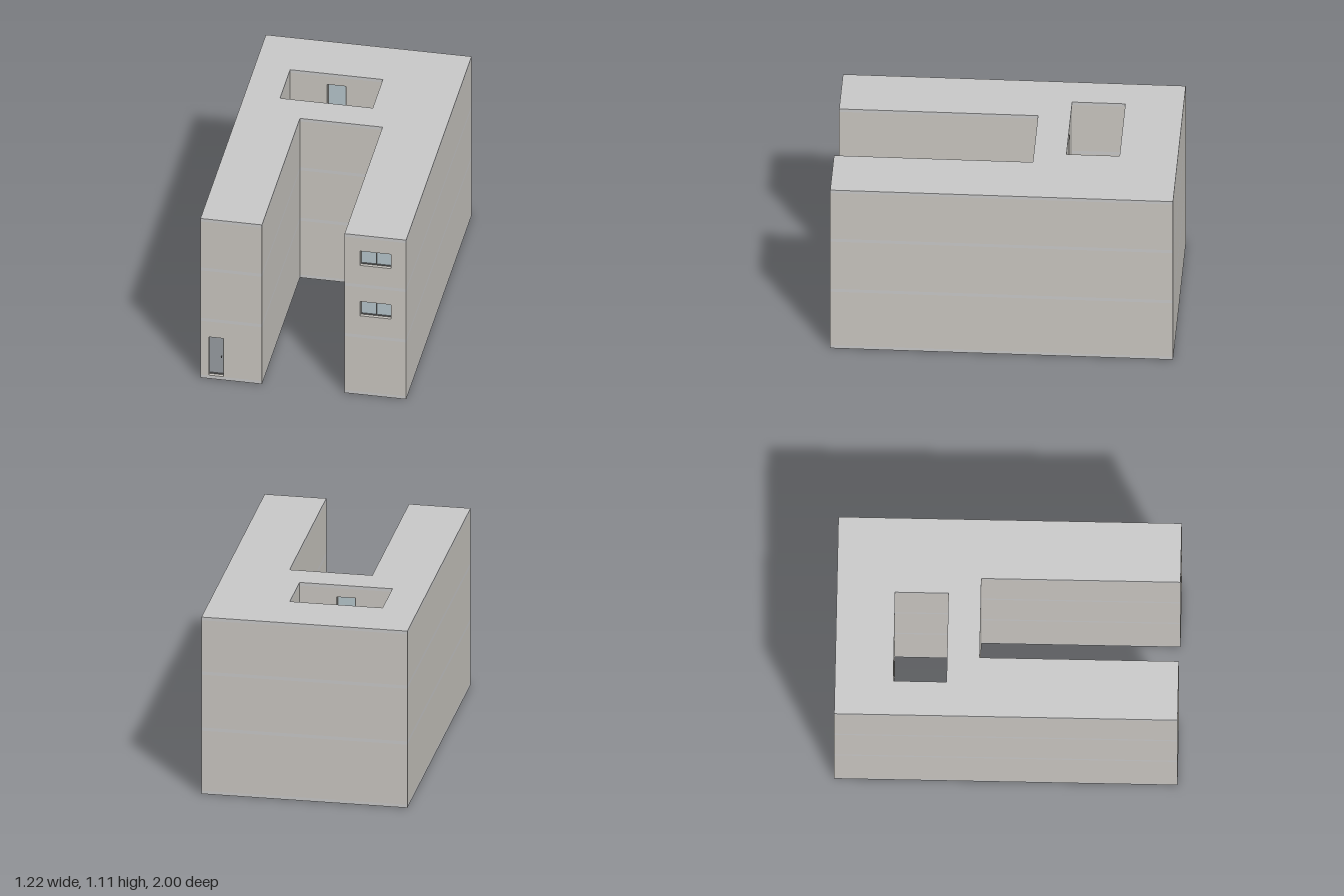
import * as THREE from 'three';

const mat = (color) => new THREE.MeshStandardMaterial({ color, flatShading: true });
const WALL = mat(0xccc9c3), SLAB = mat(0xc2c2c1), FRAME = mat(0x777877), GLASS = mat(0xb8c8ce), DOOR = mat(0x9a9fa4);

// Footprint corners as [x, z]; every wall faces outwards along its edge
const OUTER = [[-0.61, 1], [-0.245, 1], [-0.245, -0.16], [0.245, -0.16], [0.245, 1], [0.61, 1], [0.61, -1], [-0.61, -1]];
const COURT = [[-0.4, -0.66], [0.15, -0.66], [0.15, -0.35], [-0.4, -0.35]];
const STOREYS = [[0.02, 0.395], [0.415, 0.745], [0.765, 1.085]];
const SLABS = [[0, 0.02], [0.395, 0.415], [0.745, 0.765], [1.085, 1.105]];
const THICK = 0.05, RECESS = 0.025;

// Openings: wall loop, edge, storey, start and end along the wall, bottom and top above the storey floor
const OPENINGS = [
  { kind: 'door', loop: OUTER, edge: 0, storey: 0, u: [0.018, 0.136], v: [0.003, 0.268] },
  ...[1, 2].flatMap((storey) => [
    { kind: 'window', loop: OUTER, edge: 4, storey, u: [0.092, 0.276], v: [0.131, 0.23] },
    { kind: 'glassDoor', loop: COURT, edge: 0, storey, u: [0.22, 0.33], v: [0.003, 0.265] },
    { kind: 'glassDoor', loop: COURT, edge: 2, storey, u: [0.22, 0.33], v: [0.003, 0.265] },
  ]),
];

function mesh(geometry, material, name) {
  const m = new THREE.Mesh(geometry, material);
  m.name = name;
  return m;
}

function rectPath(Type, x0, y0, x1, y1) {
  return new Type([[x0, y0], [x1, y0], [x1, y1], [x0, y1]].map(([x, y]) => new THREE.Vector2(x, y)));
}

// Floor plate following the footprint, with the courtyard cut out
function slab(y0, y1) {
  const points = (loop) => loop.map(([x, z]) => new THREE.Vector2(x, -z));
  const shape = new THREE.Shape(points(OUTER));
  shape.holes.push(new THREE.Path(points(COURT)));
  const g = new THREE.ExtrudeGeometry(shape, { depth: y1 - y0, bevelEnabled: false });
  g.rotateX(-Math.PI / 2).translate(0, y0, 0);
  return mesh(g, SLAB, 'floorSlab');
}

// Frame, pane and fittings set back in an opening
function filling({ kind, u: [u0, u1], v: [v0, v1] }) {
  const group = new THREE.Group();
  group.name = kind;
  const w = u1 - u0, h = v1 - v0, b = 0.006;
  const box = (sx, sy, sz, x, y, z, material, name) => {
    const m = mesh(new THREE.BoxGeometry(sx, sy, sz), material, name);
    m.position.set(x, y, z);
    group.add(m);
  };
  const ring = rectPath(THREE.Shape, u0, v0, u1, v1);
  ring.holes.push(rectPath(THREE.Path, u0 + b, v0 + b, u1 - b, v1 - b));
  const g = new THREE.ExtrudeGeometry(ring, { depth: 0.015, bevelEnabled: false });
  group.add(mesh(g.translate(0, 0, -RECESS - 0.01), FRAME, 'frame'));
  const cx = (u0 + u1) / 2, cy = (v0 + v1) / 2;
  box(w - b, h - b, 0.006, cx, cy, -RECESS - 0.004, kind === 'door' ? DOOR : GLASS, 'panel');
  if (kind === 'window') box(0.005, h - b, 0.012, cx, cy, -RECESS - 0.001, FRAME, 'mullion');
  if (kind === 'door') box(0.004, 0.01, 0.008, u1 - 0.015, cy - 0.01, -RECESS + 0.003, FRAME, 'handle');
  return group;
}

// One storey of one wall, with its openings
function wall(loop, edge, storey) {
  const [ax, az] = loop[edge], [bx, bz] = loop[(edge + 1) % loop.length];
  const [y0, y1] = STOREYS[storey];
  const group = new THREE.Group();
  group.name = loop === COURT ? 'courtyardWall' : 'outerWall';
  const shape = rectPath(THREE.Shape, 0, 0, Math.hypot(bx - ax, bz - az), y1 - y0);
  for (const o of OPENINGS) {
    if (o.loop !== loop || o.edge !== edge || o.storey !== storey) continue;
    shape.holes.push(rectPath(THREE.Path, o.u[0], o.v[0], o.u[1], o.v[1]));
    group.add(filling(o));
  }
  const g = new THREE.ExtrudeGeometry(shape, { depth: THICK, bevelEnabled: false });
  group.add(mesh(g.translate(0, 0, -THICK), WALL, 'wallPanel'));
  group.position.set(ax, y0, az);
  group.rotation.y = Math.atan2(az - bz, bx - ax);
  return group;
}

export function createModel() {
  const model = new THREE.Group();
  model.name = 'building';
  SLABS.forEach(([y0, y1]) => model.add(slab(y0, y1)));
  STOREYS.forEach((_, storey) => {
    for (const loop of [OUTER, COURT]) loop.forEach((_p, edge) => model.add(wall(loop, edge, storey)));
  });
  return model;
}
